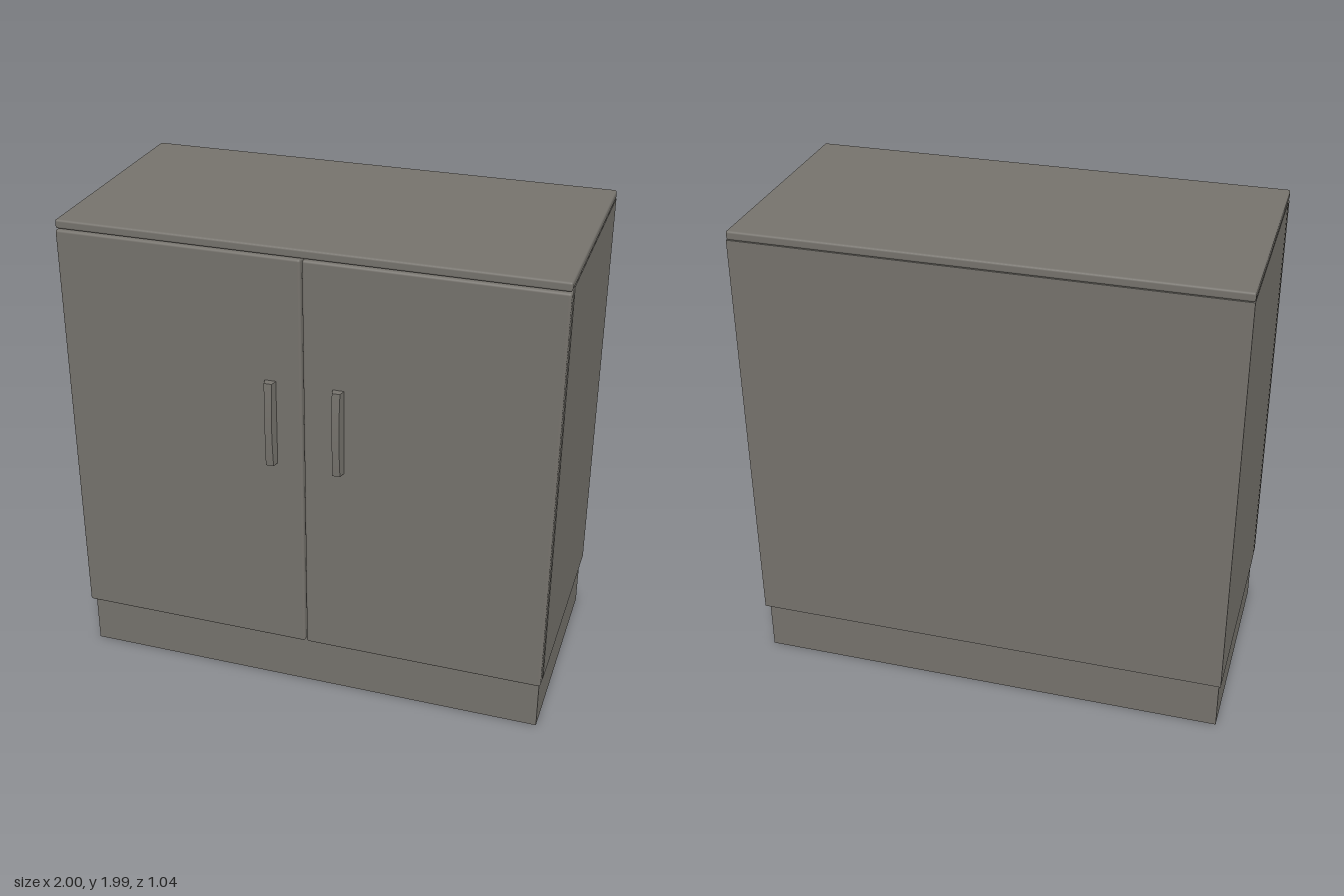
import * as THREE from 'three';
import { toCreasedNormals } from 'three/addons/utils/BufferGeometryUtils.js';
import { RoundedBoxGeometry } from 'three/addons/geometries/RoundedBoxGeometry.js';

export function createModel() {
  const cabinet = new THREE.Group();
  cabinet.name = 'cabinet';
  const grey = new THREE.MeshStandardMaterial({ color: 0x75726c });
  grey.name = 'warm grey';

  const add = (name, geometry) => {
    const mesh = new THREE.Mesh(geometry, grey);
    mesh.name = name;
    cabinet.add(mesh);
    return mesh;
  };

  // Box from its limits, with rounded edges when a radius is given
  const block = (name, [x0, x1], [y0, y1], [z0, z1], radius = 0) => {
    const size = [x1 - x0, y1 - y0, z1 - z0];
    const geometry = radius
      ? new RoundedBoxGeometry(...size, 3, radius)
      : new THREE.BoxGeometry(...size);
    add(name, geometry).position.set((x0 + x1) / 2, (y0 + y1) / 2, (z0 + z1) / 2);
  };

  // Recessed plinth, carcass and worktop
  block('plinth', [-0.99, 0.99], [0, 0.225], [-0.495, 0.447]);
  block('carcass', [-1, 1], [0.225, 1.953], [-0.523, 0.422]);
  block('top', [-1, 1], [1.953, 1.99], [-0.523, 0.477], 0.009);

  // Pair of doors standing just clear of the carcass
  block('rightDoor', [-1, -0.003], [0.225, 1.95], [0.43, 0.482], 0.01);
  block('leftDoor', [0.003, 1], [0.225, 1.95], [0.43, 0.482], 0.01);

  // Bowed handle, tapering in width away from the door
  const halfHeight = 0.181, width = 0.045;
  const side = new THREE.Shape();
  side.moveTo(0, -halfHeight);
  side.lineTo(0.031, -halfHeight);
  side.quadraticCurveTo(0.047, 0, 0.031, halfHeight);
  side.lineTo(0, halfHeight);
  side.closePath();
  const bar = new THREE.ExtrudeGeometry(side, { depth: width, bevelEnabled: false, curveSegments: 12 });
  bar.translate(0, 0, -width / 2);
  bar.rotateY(-Math.PI / 2);
  const p = bar.attributes.position;
  for (let i = 0; i < p.count; i++) p.setX(i, p.getX(i) * (1 - 9 * p.getZ(i)));
  const handle = toCreasedNormals(bar, 0.5);
  add('rightHandle', handle).position.set(-0.13, 1.256, 0.481);
  add('leftHandle', handle).position.set(0.145, 1.256, 0.481);

  return cabinet;
}
